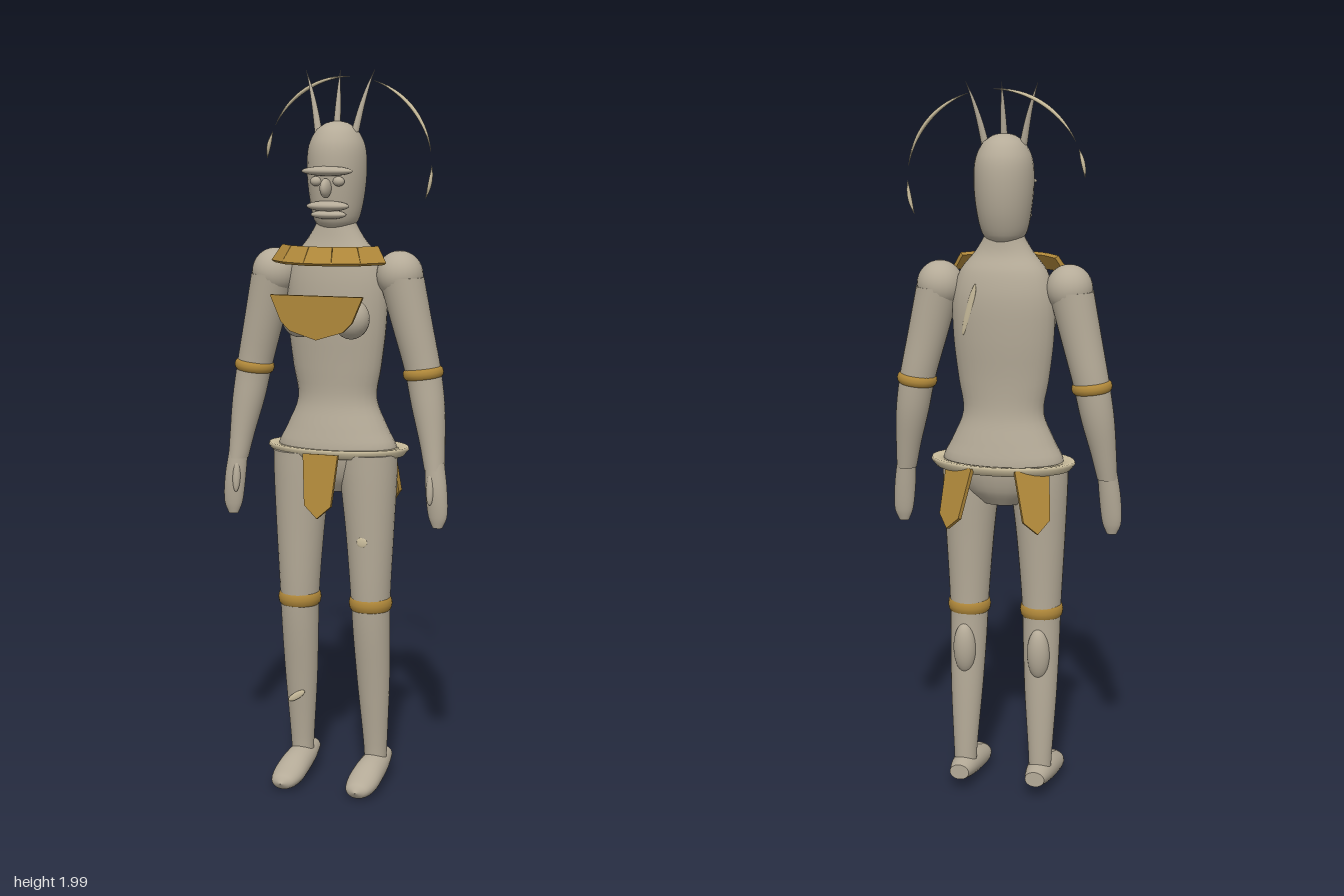
import * as THREE from 'three';

const mat = (name, color, side = THREE.FrontSide) => {
  const m = new THREE.MeshStandardMaterial({ color, side });
  m.name = name;
  return m;
};

// Smooth elliptical tube; rows run upward: [y, rx, rz, cx, cz]
function loft(rows, steps = 4, n = 28) {
  const centre = new THREE.CatmullRomCurve3(rows.map(r => new THREE.Vector3(r[3] || 0, r[0], r[4] || 0)));
  const radius = new THREE.CatmullRomCurve3(rows.map(r => new THREE.Vector3(r[1], r[0], r[2])));
  const count = (rows.length - 1) * steps, pos = [], idx = [];
  for (let i = 0; i <= count; i++) {
    const c = centre.getPoint(i / count), r = radius.getPoint(i / count);
    for (let j = 0; j < n; j++) {
      const a = j / n * Math.PI * 2;
      pos.push(c.x + Math.max(r.x, 0.0005) * Math.cos(a), c.y, c.z + Math.max(r.z, 0.0005) * Math.sin(a));
      if (i < count) {
        const k = (j + 1) % n, p = i * n;
        idx.push(p + j, p + n + j, p + k, p + k, p + n + j, p + n + k);
      }
    }
  }
  // flat end caps with their own vertices
  for (const end of [0, count]) {
    const start = pos.length / 3;
    pos.push(...pos.slice(end * n * 3, (end + 1) * n * 3));
    for (let j = 1; j < n - 1; j++) {
      if (end) idx.push(start, start + j + 1, start + j);
      else idx.push(start, start + j, start + j + 1);
    }
  }
  const g = new THREE.BufferGeometry();
  g.setAttribute('position', new THREE.Float32BufferAttribute(pos, 3));
  g.setIndex(idx);
  g.computeVertexNormals();
  return g;
}

// Thin plate whose origin is the middle of its top edge, facing +z
function plate(points, depth = 0.012) {
  const shape = new THREE.Shape(points.map(p => new THREE.Vector2(p[0], p[1])));
  return new THREE.ExtrudeGeometry(shape, { depth, bevelEnabled: false }).translate(0, 0, -depth / 2);
}

export function createModel() {
  const group = new THREE.Group();
  const skin = mat('stone skin', 0xb5ab98);
  const gold = mat('gold', 0xb0883a);
  const cream = mat('cream', 0xcdc09f, THREE.DoubleSide);

  const add = (name, geo, material, p = [0, 0, 0], r = [0, 0, 0], order = 'YXZ') => {
    const m = new THREE.Mesh(geo, material);
    m.name = name;
    m.position.set(...p);
    m.rotation.set(r[0], r[1], r[2], order);
    group.add(m);
    return m;
  };
  const ball = (name, material, p, s, r) => {
    const m = add(name, new THREE.SphereGeometry(1, 24, 16), material, p, r);
    m.scale.set(...s);
    return m;
  };

  // Torso and head
  add('torso', loft([
    [0.855, 0.06, 0.05, 0, -0.02], [0.9, 0.12, 0.08, 0, -0.02], [0.97, 0.17, 0.095, 0, -0.02],
    [1.03, 0.145, 0.085, 0, -0.02], [1.11, 0.113, 0.068, 0, -0.02], [1.2, 0.126, 0.07, 0, -0.018],
    [1.32, 0.14, 0.08, 0, -0.018], [1.43, 0.14, 0.082, 0, -0.018], [1.5, 0.12, 0.072, 0, -0.015],
    [1.55, 0.08, 0.055, 0, -0.01], [1.6, 0.052, 0.048, 0, -0.01], [1.64, 0.05, 0.045, 0, -0.01]]), skin);
  add('head', loft([
    [1.575, 0.04, 0.045, 0, -0.01], [1.6, 0.06, 0.064, 0, -0.01], [1.66, 0.074, 0.08, 0, -0.014],
    [1.74, 0.081, 0.088, 0, -0.015], [1.8, 0.076, 0.082, 0, -0.015], [1.84, 0.056, 0.06, 0, -0.015],
    [1.86, 0.028, 0.03, 0, -0.015], [1.866, 0, 0, 0, -0.015]]), skin);

  // Face
  ball('brow', skin, [0, 1.733, 0.068], [0.072, 0.013, 0.027]);
  ball('nose', skin, [0, 1.688, 0.08], [0.014, 0.026, 0.027]);
  ball('upperLip', skin, [0, 1.64, 0.062], [0.06, 0.014, 0.028]);
  ball('lowerLip', skin, [0, 1.617, 0.056], [0.05, 0.012, 0.025]);
  // Three horns, curving outward and back
  for (const s of [-1, 0, 1]) {
    add('horn', loft([[1.835, 0.011, 0.011, s * 0.052, -0.012], [1.9, 0.008, 0.008, s * 0.066, -0.022],
      [1.96, 0.004, 0.004, s * 0.083, -0.033], [2, 0, 0, s * 0.098, -0.042]], 3, 10), skin);
  }

  // Broken halo: tapered arcs behind the head, given as start and end degrees
  for (const [from, to] of [[89, 153], [9, 72], [158, 176], [-22, 0]]) {
    const arc = new THREE.TorusGeometry(0.239, 0.009, 8, 30, (to - from) * Math.PI / 180);
    const p = arc.attributes.position, v = new THREE.Vector3(), c = new THREE.Vector3();
    for (let i = 0; i < p.count; i++) {
      v.fromBufferAttribute(p, i);
      c.set(v.x, v.y, 0).setLength(0.239);
      const t = (i % 31) / 30;
      v.sub(c).multiplyScalar(0.1 + 0.9 * Math.sin(Math.PI * t));
      v.x *= 0.6;
      v.y *= 0.6;
      v.add(c);
      p.setXYZ(i, v.x, v.y, v.z);
    }
    arc.computeVertexNormals();
    add('haloArc', arc, cream, [0, 1.745, -0.11], [0, 0, from * Math.PI / 180]);
  }

  // Collar of five flaring plates
  for (let i = -2; i <= 2; i++) {
    const a = i * 0.42;
    add('collarPlate', plate([[-0.032, 0], [-0.039, -0.052], [0.039, -0.052], [0.032, 0]]), gold,
      [Math.sin(a) * 0.15, 1.532, Math.cos(a) * 0.15 - 0.035], [-0.6, a, 0]);
  }
  // Breastplate, loin plate and rear tassets
  add('breastplate', plate([[-0.13, 0], [-0.1, -0.07], [-0.075, -0.095], [0, -0.118],
    [0.075, -0.095], [0.1, -0.07], [0.13, 0]]), gold, [0, 1.408, 0.154]);
  const loin = plate([[-0.05, 0], [-0.038, -0.14], [0, -0.175], [0.038, -0.14], [0.05, 0]]);
  add('loinPlate', loin, gold, [0, 0.975, 0.122], [-0.17, 0, 0]);
  for (const s of [-1, 1]) {
    add('rearTasset', loin, gold, [s * 0.1, 0.972, -0.112], [-0.27, s * (Math.PI - 0.57), 0]);
  }
  // Belt
  const belt = new THREE.LatheGeometry([[0.165, 0.955], [0.188, 0.955], [0.203, 0.972], [0.2, 0.98],
    [0.168, 0.978], [0.165, 0.955]].map(p => new THREE.Vector2(...p)), 40);
  add('belt', belt, cream, [0, 0, -0.027]).scale.z = 0.58;

  for (const s of [-1, 1]) {
    ball('eye', skin, [s * 0.032, 1.706, 0.066], [0.016, 0.013, 0.014]);
    ball('bust', skin, [s * 0.073, 1.342, 0.082], [0.05, 0.055, 0.05]);

    // Arm
    ball('shoulder', skin, [s * 0.18, 1.455, -0.012], [0.064, 0.066, 0.063]);
    add('arm', loft([
      [0.93, 0.028, 0.03, s * 0.287, 0.005], [1.0, 0.035, 0.036, s * 0.278, -0.004],
      [1.1, 0.046, 0.045, s * 0.262, -0.015], [1.19, 0.05, 0.048, s * 0.246, -0.02],
      [1.32, 0.056, 0.054, s * 0.215, -0.016], [1.45, 0.062, 0.062, s * 0.184, -0.012]]), skin);
    const armBand = add('armBand', new THREE.TorusGeometry(0.046, 0.01, 10, 32), gold,
      [s * 0.246, 1.19, -0.02], [Math.PI / 2, 0, s * 0.12], 'ZYX');
    armBand.scale.z = 1.5;
    // Hand
    add('hand', loft([
      [0.77, 0.014, 0.01, s * 0.3, 0.015], [0.8, 0.026, 0.018, s * 0.3, 0.014],
      [0.87, 0.03, 0.026, s * 0.295, 0.012], [0.95, 0.027, 0.027, s * 0.287, 0.005]]), skin);
    ball('thumb', skin, [s * 0.283, 0.88, 0.032], [0.011, 0.045, 0.011], [-0.12, 0, 0]);

    // Leg
    add('leg', loft([
      [0.06, 0.031, 0.03, s * 0.11, -0.033], [0.12, 0.034, 0.032, s * 0.11, -0.031],
      [0.3, 0.046, 0.043, s * 0.108, -0.018], [0.45, 0.052, 0.052, s * 0.106, -0.004],
      [0.55, 0.055, 0.057, s * 0.105, 0.002], [0.75, 0.068, 0.067, s * 0.102, 0.002],
      [0.9, 0.08, 0.076, s * 0.097, 0], [0.965, 0.083, 0.078, s * 0.095, 0]]), skin);
    ball('calf', skin, [s * 0.107, 0.42, -0.048], [0.032, 0.076, 0.03], [-0.08, 0, 0]);
    const kneeBand = add('kneeBand', new THREE.TorusGeometry(0.048, 0.013, 10, 32), gold,
      [s * 0.105, 0.54, 0.002], [Math.PI / 2, 0, 0]);
    kneeBand.scale.z = 1.75;
    // Foot, lofted from heel to toe and laid forward
    const foot = loft([
      [-0.105, 0.028, 0.022, 0, -0.064], [-0.05, 0.038, 0.033, 0, -0.06], [0.03, 0.044, 0.038, 0, -0.05],
      [0.1, 0.043, 0.03, 0, -0.038], [0.14, 0.03, 0.02, 0, -0.034], [0.156, 0, 0, 0, -0.034]]);
    add('foot', foot.rotateX(Math.PI / 2), skin, [s * 0.11, 0, 0]);
  }

  // Pale inlaid markings
  ball('backMark', cream, [0.08, 1.4, -0.083], [0.01, 0.075, 0.005], [0, -0.4, 0.3]);
  ball('thighMark', cream, [0.1, 0.725, 0.067], [0.015, 0.014, 0.003]);
  ball('shinMark', cream, [-0.11, 0.25, 0.02], [0.03, 0.01, 0.004], [0, 0, 0.6]);
  return group;
}
